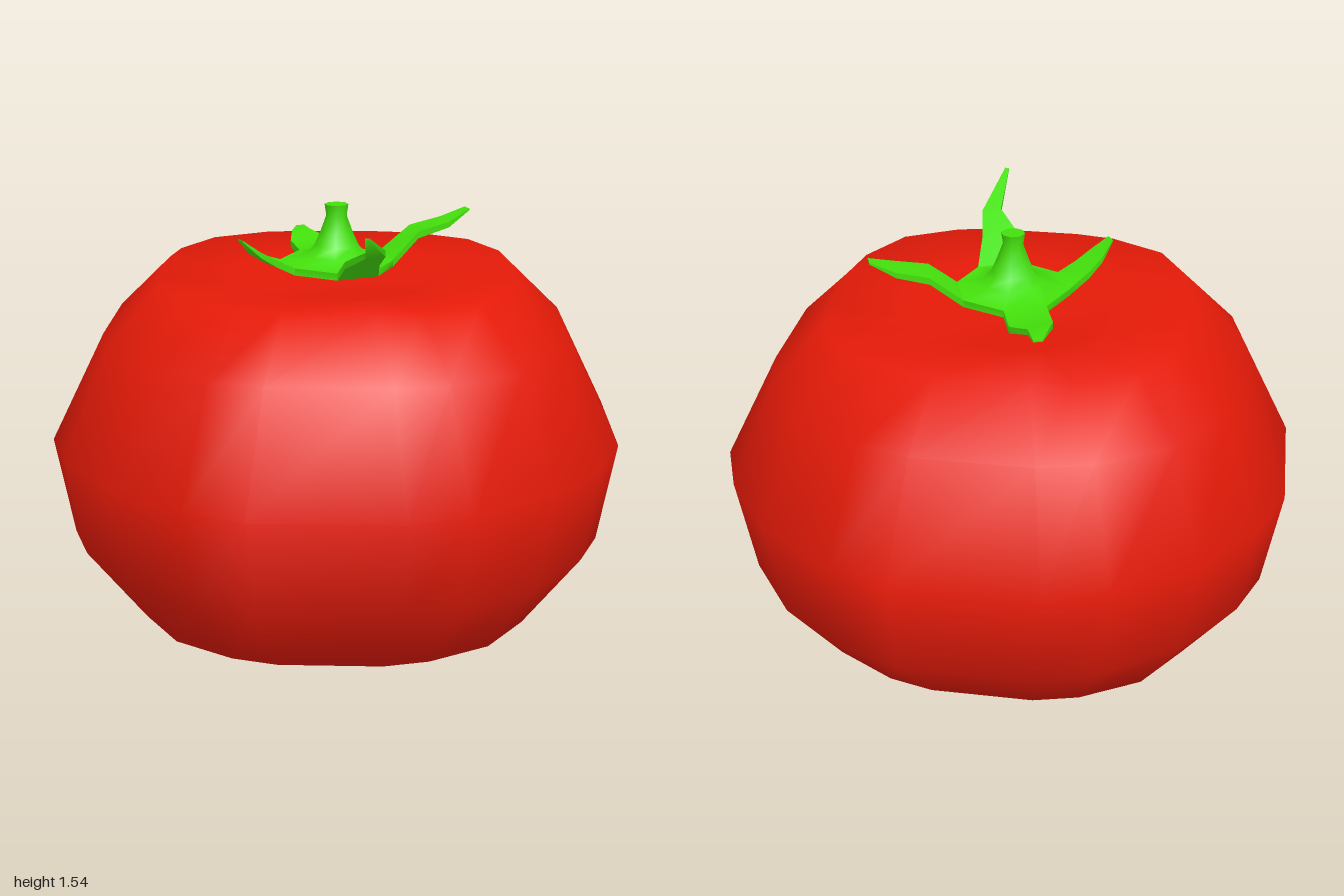
import * as THREE from 'three';
import { mergeGeometries, toCreasedNormals } from 'three/addons/utils/BufferGeometryUtils.js';

// Skin a list of closed rings (equal point counts); both ends are closed with a fan.
function loft(rings) {
  const n = rings[0].length, pos = rings.flat(2), idx = [];
  for (let r = 0; r < rings.length - 1; r++) {
    for (let i = 0; i < n; i++) {
      const a = r * n + i, b = r * n + (i + 1) % n;
      idx.push(a, b, b + n, a, b + n, a + n);
    }
  }
  const cap = (start, flip) => {
    const ring = rings[start / n];
    const c = [0, 1, 2].map(k => ring.reduce((s, p) => s + p[k], 0) / n);
    const m = pos.length / 3;
    pos.push(...c);
    for (let i = 0; i < n; i++) {
      const a = start + i, b = start + (i + 1) % n;
      if (flip) idx.push(b, a, m); else idx.push(a, b, m);
    }
  };
  cap(0, true);
  cap((rings.length - 1) * n, false);
  const g = new THREE.BufferGeometry();
  g.setAttribute('position', new THREE.Float32BufferAttribute(pos, 3));
  g.setIndex(idx);
  g.computeVertexNormals();
  return g;
}

export function createModel() {
  const group = new THREE.Group();
  const red = new THREE.MeshStandardMaterial({ color: 0xe41a08 });
  const green = new THREE.MeshStandardMaterial({ color: 0x44e00c, side: THREE.DoubleSide });
  const add = (name, geometry, material) => {
    const mesh = new THREE.Mesh(geometry, material);
    mesh.name = name;
    group.add(mesh);
  };

  // Fruit body: one 20-sided outline, flat on its four sides, scaled ring by ring
  const quarter = [[1, 0.25], [0.92, 0.46], [0.73, 0.73], [0.46, 0.92], [0.25, 1]];
  const outline = [];
  for (let q = 0; q < 4; q++) {
    const c = [1, 0, -1, 0][q], s = [0, 1, 0, -1][q];
    for (const [u, v] of quarter) outline.push([u * c - v * s, -(u * s + v * c)]);
  }
  // [half width x, half width z, height, extra width on the diagonals], bottom hollow to top dimple
  const profile = [
    [0.2, 0.2, 0.04, 0], [0.42, 0.41, 0, 0], [0.715, 0.665, 0.06, 0.05], [0.94, 0.94, 0.36, 0],
    [1, 1, 0.72, 0], [0.8, 0.8, 1.1, 0.07], [0.605, 0.605, 1.292, 0.11],
    [0.34, 0.34, 1.268, 0.06], [0.15, 0.15, 1.245, 0],
  ];
  add('fruitBody', loft(profile.map(([rx, rz, y, square]) => outline.map(([x, z]) => {
    const k = 1 + square * Math.sin(2 * Math.atan2(z, x)) ** 2;
    return [x * rx * k, y, z * rz * k];
  }))), red);

  // Calyx hub: irregular octagon sweeping up into a flared eight-sided stem
  const octagon = [[0.2, 0.03], [0.15, -0.12], [0, -0.18], [-0.14, -0.12],
    [-0.2, 0.03], [-0.14, 0.17], [0.01, 0.24], [0.15, 0.17]];
  const hub = [[0.6, 1.285], [1, 1.305], [1, 1.33]].map(([s, y]) =>
    octagon.map(([x, z]) => [x * s, y, 0.03 + (z - 0.03) * s]));
  const stem = [[0.11, 1.35], [0.078, 1.385], [0.058, 1.43], [0.036, 1.49], [0.042, 1.53]].map(([r, y]) =>
    octagon.map((_, i) => {
      const a = i * Math.PI / 4;
      return [r * Math.cos(a), y, 0.03 - r * Math.sin(a)];
    }));

  // Sepals: cross-sections from root to tip, [left x, left z, right x, right z, height]
  const sepals = [
    [[-0.14, -0.12, 0, -0.18, 1.33], [-0.18, -0.25, -0.04, -0.31, 1.335],
      [-0.18, -0.33, -0.11, -0.36, 1.355], [-0.17, -0.43, -0.14, -0.44, 1.355]],
    [[0.15, -0.12, 0.2, 0.03, 1.33], [0.26, -0.15, 0.29, -0.03, 1.42],
      [0.37, -0.18, 0.4, -0.08, 1.445], [0.46, -0.19, 0.475, -0.15, 1.48]],
    [[0.15, 0.17, 0.01, 0.24, 1.33], [0.155, 0.3, 0.04, 0.36, 1.4],
      [0.175, 0.41, 0.11, 0.44, 1.45], [0.125, 0.63, 0.11, 0.63, 1.54]],
    [[-0.14, 0.17, -0.2, 0.03, 1.33], [-0.2, 0.2, -0.26, 0.11, 1.365],
      [-0.25, 0.235, -0.3, 0.165, 1.4], [-0.31, 0.255, -0.33, 0.22, 1.445]],
  ].map(sections => loft(sections.map(([xl, zl, xr, zr, y], i) => {
    const low = y - [0.025, 0.025, 0.02, 0.006][i];
    return [[xl, y, zl], [xr, y, zr], [xr, low, zr], [xl, low, zl]];
  })));

  // Stem, hub and sepals are shaded as one smooth piece
  add('stemAndCalyx', toCreasedNormals(mergeGeometries([loft([...hub, ...stem]), ...sepals]), 1.15), green);
  return group;
}
